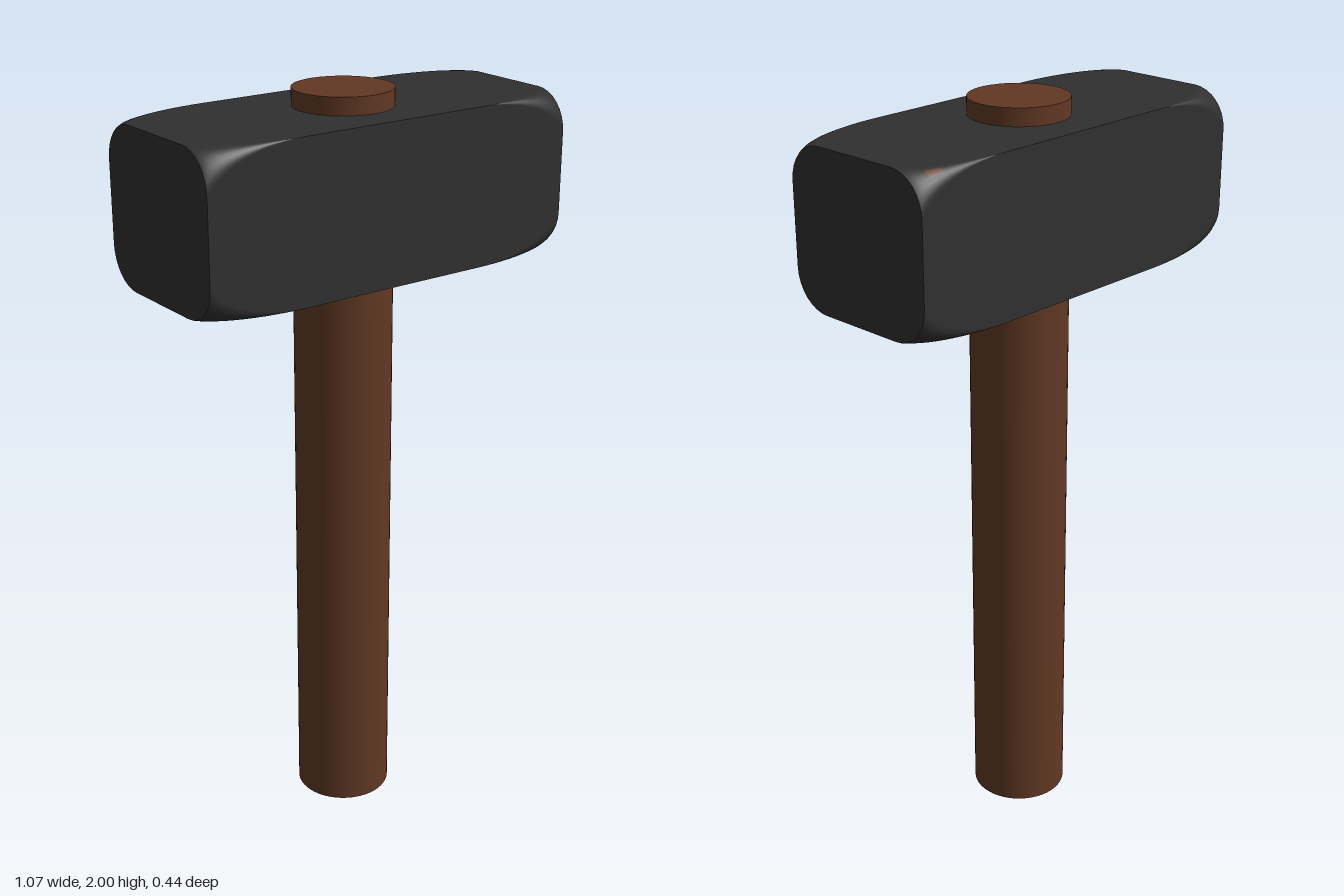
import * as THREE from 'three';

const HX = 0.535, HY = 0.205, HZ = 0.22; // half sizes of the head
const START = 0.26, LEN = 0.285, BULGE = 0.135; // corner rounding grows toward the ends
const STEPS = 8;

// Block whose four long edges are sharp in the middle and rounded at the ends
function headGeometry() {
  const pos = [], nor = [], idx = [], chip = [];
  const half = [START];
  for (let i = 1; i <= 14; i++) half.push(START + (HX - START) * Math.sin((i / 14) * Math.PI / 2));
  const xs = [...half.map(x => -x).reverse(), ...half];
  const ring = 4 * (STEPS + 1);

  const section = (x, capSide) => {
    const t = Math.max(0, (Math.abs(x) - START) / LEN);
    const root = Math.sqrt(1 - t * t);
    const r = BULGE * (1 - root);
    const slope = Math.sign(x) * (BULGE / LEN) * t / root;
    for (let q = 0; q < 4; q++) {
      const sy = q === 0 || q === 3 ? 1 : -1, sz = q < 2 ? 1 : -1;
      for (let k = 0; k <= STEPS; k++) {
        const a = (q + k / STEPS) * Math.PI / 2, c = Math.cos(a), s = Math.sin(a);
        pos.push(x, sy * (HY - r) + r * c, sz * (HZ - r) + r * s);
        const n = capSide ? new THREE.Vector3(capSide, 0, 0)
          : new THREE.Vector3(slope * (Math.abs(c) + Math.abs(s) - 1), c, s).normalize();
        nor.push(n.x, n.y, n.z);
      }
    }
  };

  // long sides, with a small bare chip on one rounded corner
  xs.forEach(x => section(x));
  for (let i = 0; i < xs.length - 1; i++) {
    for (let j = 0; j < ring; j++) {
      const a = i * ring + j, b = i * ring + (j + 1) % ring;
      const bare = xs[i] > 0.45 && xs[i + 1] < 0.505 && (j === ring - 4 || j === ring - 5);
      (bare ? chip : idx).push(a, b, a + ring, b, b + ring, a + ring);
    }
  }
  // flat striking faces
  for (const side of [-1, 1]) {
    const base = pos.length / 3;
    section(side * HX, side);
    for (let j = 1; j < ring - 1; j++) {
      if (side > 0) idx.push(base, base + j, base + j + 1);
      else idx.push(base, base + j + 1, base + j);
    }
  }

  const g = new THREE.BufferGeometry();
  g.setAttribute('position', new THREE.Float32BufferAttribute(pos, 3));
  g.setAttribute('normal', new THREE.Float32BufferAttribute(nor, 3));
  g.setIndex([...idx, ...chip]);
  g.addGroup(0, idx.length, 0);
  g.addGroup(idx.length, chip.length, 1);
  return g;
}

export function createModel() {
  const iron = new THREE.MeshStandardMaterial({ color: 0x303030 });
  iron.name = 'dark iron';
  const wood = new THREE.MeshStandardMaterial({ color: 0x613824 });
  wood.name = 'brown wood';

  const model = new THREE.Group();
  model.name = 'hammer';

  // handle passes right through the head
  const handle = new THREE.Mesh(new THREE.CylinderGeometry(0.128, 0.128, 2, 48), wood);
  handle.name = 'handle';
  handle.position.y = 1;

  const head = new THREE.Mesh(headGeometry(), [iron, wood]);
  head.name = 'head';
  head.position.y = 1.75;

  model.add(handle, head);
  return model;
}
